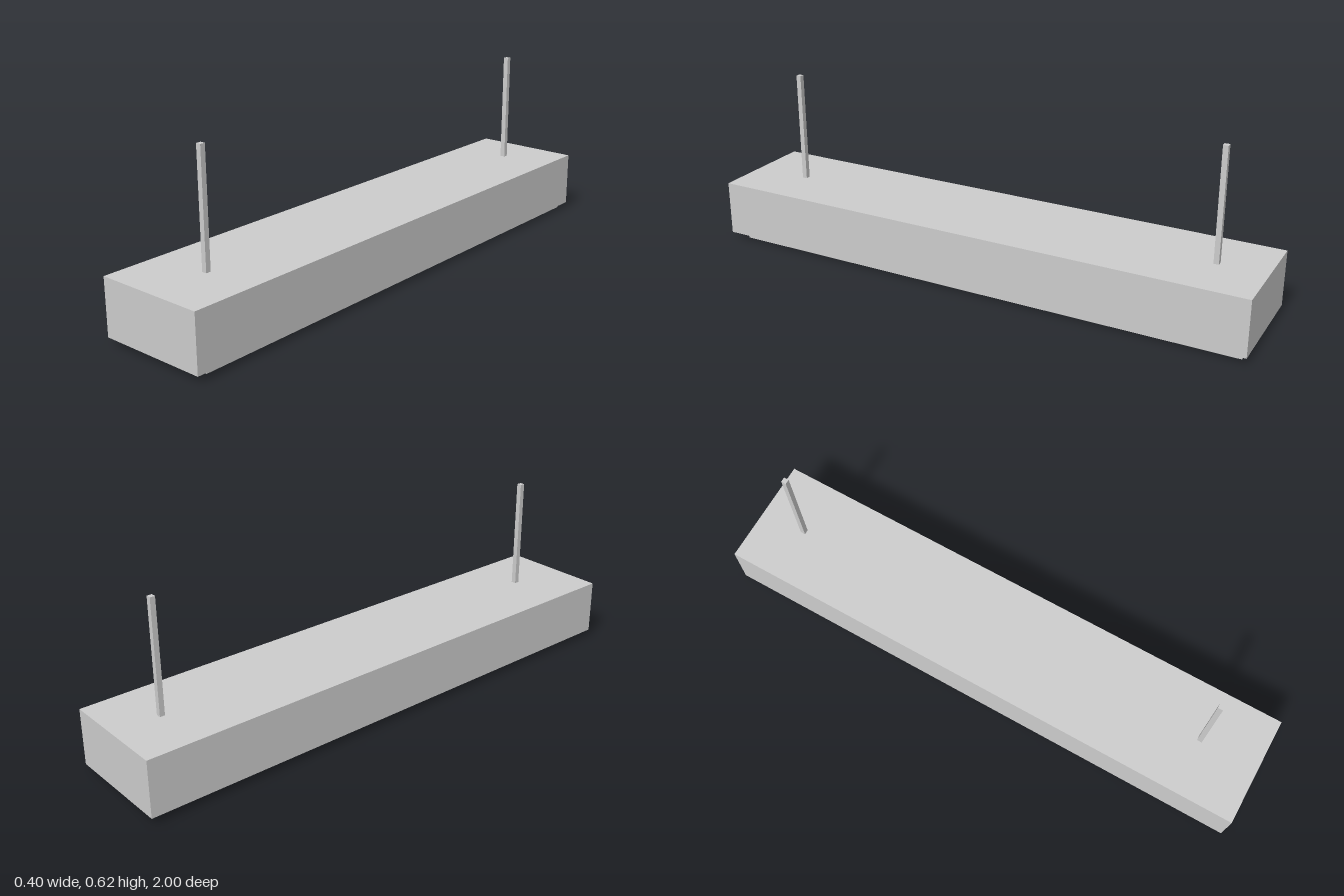
import * as THREE from 'three';

export function createModel() {
  const model = new THREE.Group();
  const material = new THREE.MeshStandardMaterial({ color: 0xcccccc, flatShading: true });

  // Box spanning the given limits on each axis
  function addBox(name, [x0, x1], [y0, y1], [z0, z1]) {
    const mesh = new THREE.Mesh(new THREE.BoxGeometry(x1 - x0, y1 - y0, z1 - z0), material);
    mesh.position.set((x0 + x1) / 2, (y0 + y1) / 2, (z0 + z1) / 2);
    mesh.name = name;
    model.add(mesh);
  }

  // Long housing and the slightly offset diffuser plate beneath it
  addBox('housing', [-0.2, 0.2], [0.022, 0.221], [-1, 1]);
  addBox('diffuser', [-0.168, 0.173], [0, 0.022], [-0.98, 0.943]);

  // Square hanging rods
  const r = 0.009;
  for (const [name, x, z] of [['frontRod', 0.009, 0.782], ['backRod', 0.002, -0.828]]) {
    addBox(name, [x - r, x + r], [0.221, 0.621], [z - r, z + r]);
  }

  return model;
}
